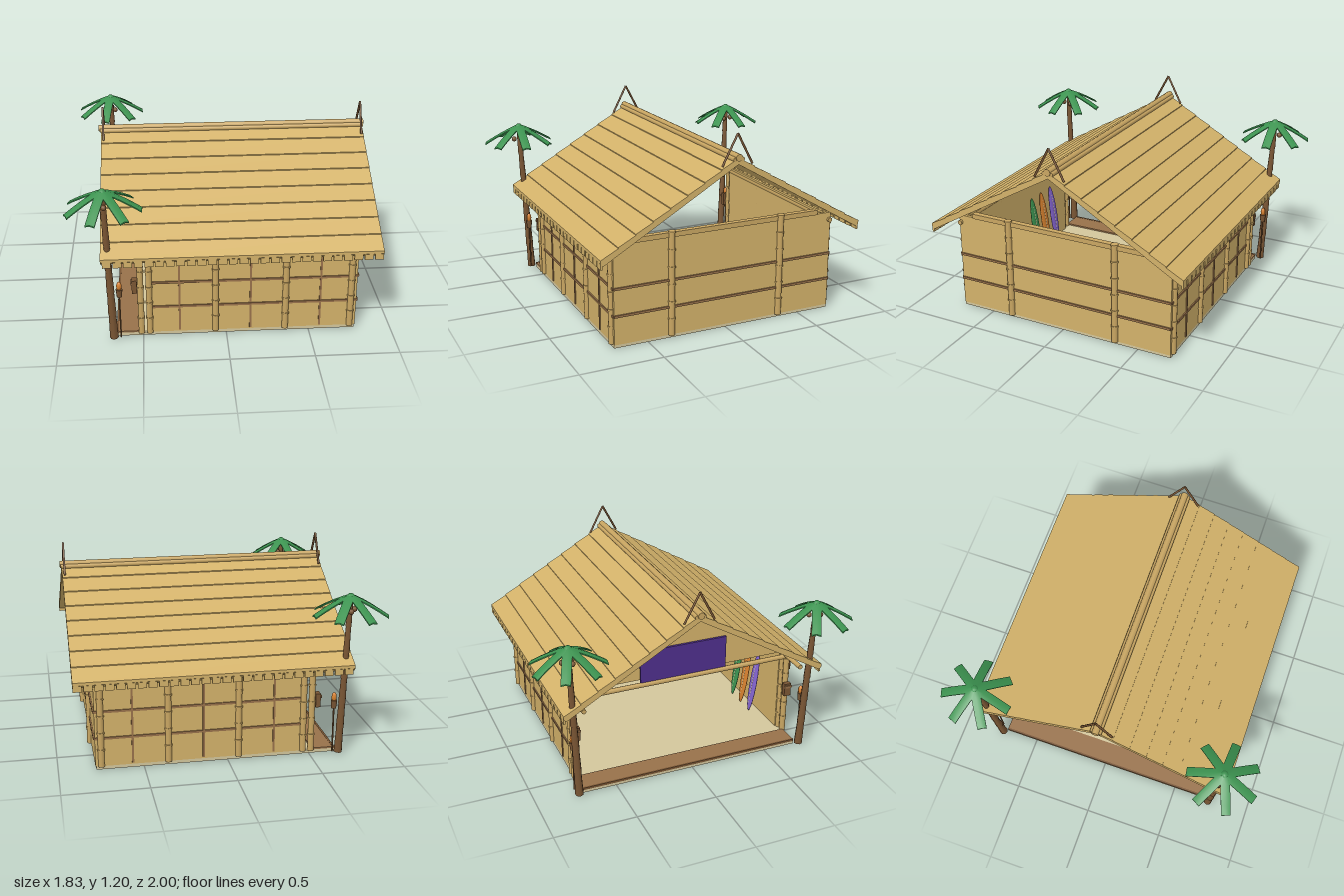
import * as THREE from 'three';

const mat = (name, color) => {
  const m = new THREE.MeshStandardMaterial({ color });
  m.name = name;
  return m;
};

export function createModel() {
  const model = new THREE.Group();
  model.name = 'beachHut';
  const thatch = mat('thatch', 0xd3b26a);
  const bamboo = mat('bamboo', 0xc9a662);
  const brown = mat('brownWood', 0x98714a);
  const dark = mat('darkWood', 0x7a5634);
  const stone = mat('floorBeige', 0xd3c69c);
  const leaf = mat('palmGreen', 0x3c9350);
  const orange = mat('orange', 0xd9822f);
  const purple = mat('purple', 0x4f2f8c);
  const lavender = mat('lavender', 0x8464d0);

  const add = (name, geo, material, x = 0, y = 0, z = 0, parent = model) => {
    const m = new THREE.Mesh(geo, material);
    m.name = name;
    m.position.set(x, y, z);
    parent.add(m);
    return m;
  };
  const box = (name, material, w, h, d, x, y, z, parent) =>
    add(name, new THREE.BoxGeometry(w, h, d), material, x, y, z, parent);
  // Round pole from a to b
  const pole = (name, material, a, b, r0, r1 = r0, sides = 8) => {
    const p = new THREE.Vector3(...a), q = new THREE.Vector3(...b);
    const dir = q.clone().sub(p);
    const m = add(name, new THREE.CylinderGeometry(r1, r0, dir.length(), sides), material);
    m.position.copy(p).add(q).multiplyScalar(0.5);
    m.quaternion.setFromUnitVectors(new THREE.Vector3(0, 1, 0), dir.normalize());
    return m;
  };
  // Bamboo post with joint rings
  const post = (x, z, top) => {
    pole('bambooPost', bamboo, [x, 0.02, z], [x, top, z], 0.019, 0.019, 10);
    for (let y = 0.125; y < top; y += 0.105)
      add('postRing', new THREE.CylinderGeometry(0.023, 0.023, 0.01, 10), bamboo, x, y, z);
  };

  // Floor slab and porch deck
  box('floorSlab', stone, 1.44, 0.02, 1.42, 0.06, 0.01, 0);
  box('porchDeck', brown, 0.14, 0.01, 1.42, -0.59, 0.025, 0);
  box('deckTrim', dark, 0.012, 0.014, 1.42, -0.655, 0.025, 0);

  // End wall with strips, posts and top beam
  box('endWall', thatch, 0.02, 0.6, 1.42, 0.775, 0.32, 0);
  for (const y of [0.195, 0.36]) box('endStrip', brown, 0.012, 0.014, 1.42, 0.788, y, 0);
  box('endBeam', bamboo, 0.035, 0.03, 1.22, 0.775, 0.632, 0);
  for (const s of [1, -1]) post(0.79, 0.355 * s, 0.65);

  // Roof: sawtooth thatch profile, run along x
  const roofProfile = (s) => {
    const z1 = 0.83, y0 = 1.062, y1 = 0.582, n = 8, step = 0.006;
    const shape = new THREE.Shape();
    shape.moveTo(0, y0 - 0.036);
    shape.lineTo(0, y0);
    for (let i = 1; i <= n; i++) {
      const z = (z1 * i) / n, y = y0 + ((y1 - y0) * i) / n;
      shape.lineTo(s * z, y + step);
      if (i < n) shape.lineTo(s * z, y);
    }
    shape.lineTo(s * z1, y1 - 0.012);
    shape.lineTo(s * (z1 - 0.015), y1 - 0.03);
    return shape;
  };
  const alongX = (shape, depth, x) =>
    new THREE.ExtrudeGeometry(shape, { depth, bevelEnabled: false })
      .rotateY(-Math.PI / 2).translate(x, 0, 0);

  for (const s of [1, -1]) {
    add('roofSlope', alongX(roofProfile(s), 1.635, 0.905), thatch);
    // Eave fringe
    for (let i = 0; i < 27; i++)
      box('fringeTab', thatch, 0.05, 0.055, 0.012, -0.695 + i * 0.0605, 0.56, s * 0.823);

    // Long wall
    box('sideWall', thatch, 1.24, 0.58, 0.02, 0.165, 0.31, s * 0.7);
    for (const y of [0.195, 0.36]) box('sideStrip', brown, 1.24, 0.014, 0.01, 0.165, y, s * 0.712);
    for (const x of [-0.28, 0.145, 0.565]) box('uprightStrip', brown, 0.012, 0.56, 0.008, x, 0.31, s * 0.712);
    for (const x of [-0.51, -0.46, -0.065, 0.355, 0.75]) post(x, s * 0.712, 0.6);
    pole('eavePole', bamboo, [-0.7, 0.575, s * 0.7], [0.8, 0.575, s * 0.7], 0.015);

    // Ridge side poles and crossed gable poles
    pole('ridgeSidePole', bamboo, [-0.735, 1.056, s * 0.022], [0.91, 1.056, s * 0.022], 0.014);
    for (const x of [-0.715, 0.89])
      pole('gablePole', dark, [x, 1.02, s * 0.095], [x, 1.2, 0], 0.007, 0.007, 6);

    // Torch beside the porch
    pole('torchPole', dark, [-0.633, 0.02, s * 0.755], [-0.633, 0.31, s * 0.755], 0.005, 0.005, 6);
    add('torchBowl', new THREE.CylinderGeometry(0.02, 0.015, 0.05, 8), dark, -0.633, 0.325, s * 0.755);
    const flame = add('torchFlame', new THREE.SphereGeometry(0.016, 8, 6), orange, -0.633, 0.37, s * 0.755);
    flame.scale.y = 1.9;

    // Carved plaque on the porch post
    box('postPlaque', dark, 0.03, 0.085, 0.045, -0.545, 0.342, s * 0.705);
    box('plaqueBrow', brown, 0.008, 0.015, 0.05, -0.563, 0.365, s * 0.705);
    pole('eaveHook', dark, [-0.57, 0.5, s * 0.7], [-0.57, 0.56, s * 0.7], 0.006, 0.006, 6);

    // Palm tree: leaning trunk in short tapered segments
    const n = 6;
    const at = (t) => [-0.675 - 0.025 * t, 0.01 + 0.96 * t, s * (0.738 + 0.042 * t)];
    for (let i = 0; i < n; i++)
      pole('palmTrunk', dark, at(i / n), at((i + 1) / n), 0.026 - 0.0015 * i, 0.022 - 0.0015 * i, 8);
    const crown = new THREE.Group();
    crown.name = 'palmCrown';
    crown.position.set(-0.7, 0.995, s * 0.78);
    model.add(crown);
    add('crownHeart', new THREE.SphereGeometry(0.026, 8, 6), leaf, 0, -0.01, 0, crown);
    for (let i = 0; i < 7; i++) {
      const a = (-4 + (i * 360) / 7) * (Math.PI / 180);
      // Frond: thin strip that droops towards its tip
      const g = new THREE.BoxGeometry(0.22, 0.008, 0.056, 4, 1, 2).translate(0.11, 0, 0);
      const p = g.attributes.position;
      for (let k = 0; k < p.count; k++) {
        const x = p.getX(k), z = p.getZ(k);
        p.setY(k, p.getY(k) - 0.42 * x - 0.5 * x * x - 0.25 * Math.abs(z) + 0.01);
        p.setZ(k, z * (x < 0.03 ? 0.55 : 1));
      }
      g.computeVertexNormals();
      add('palmFrond', g, leaf, 0, 0, 0, crown).rotation.y = s * a;
    }
    for (const [x, z] of [[0.03, -0.03], [-0.03, -0.015], [0.005, 0.035]])
      add('coconut', new THREE.SphereGeometry(0.017, 8, 6), dark, x, -0.085, s * z, crown);
  }
  pole('ridgePole', bamboo, [-0.745, 1.066, 0], [0.915, 1.066, 0], 0.022);

  // Porch gable, beam and sign board
  const gable = new THREE.Shape();
  gable.moveTo(-0.7, 0.585);
  gable.lineTo(0.7, 0.585);
  gable.lineTo(0, 0.998);
  add('porchGable', alongX(gable, 0.015, -0.475), thatch);
  pole('porchBeam', bamboo, [-0.51, 0.56, -0.71], [-0.51, 0.56, 0.71], 0.016);
  box('signBoard', purple, 0.015, 0.22, 0.56, -0.505, 0.67, 0);

  // Surfboards leaning on the inside wall
  [[-0.22, lavender], [-0.1, orange], [0.02, leaf]].forEach(([x, m]) => {
    const board = new THREE.Group();
    board.name = 'surfboard';
    board.position.set(x, 0.235, 0.645);
    board.rotation.x = 0.14;
    model.add(board);
    add('boardBody', new THREE.SphereGeometry(1, 14, 10), m, 0, 0, 0, board).scale.set(0.042, 0.21, 0.01);
    add('boardStripe', new THREE.SphereGeometry(1, 8, 10), stone, 0, 0, 0, board).scale.set(0.007, 0.19, 0.012);
  });

  return model;
}
